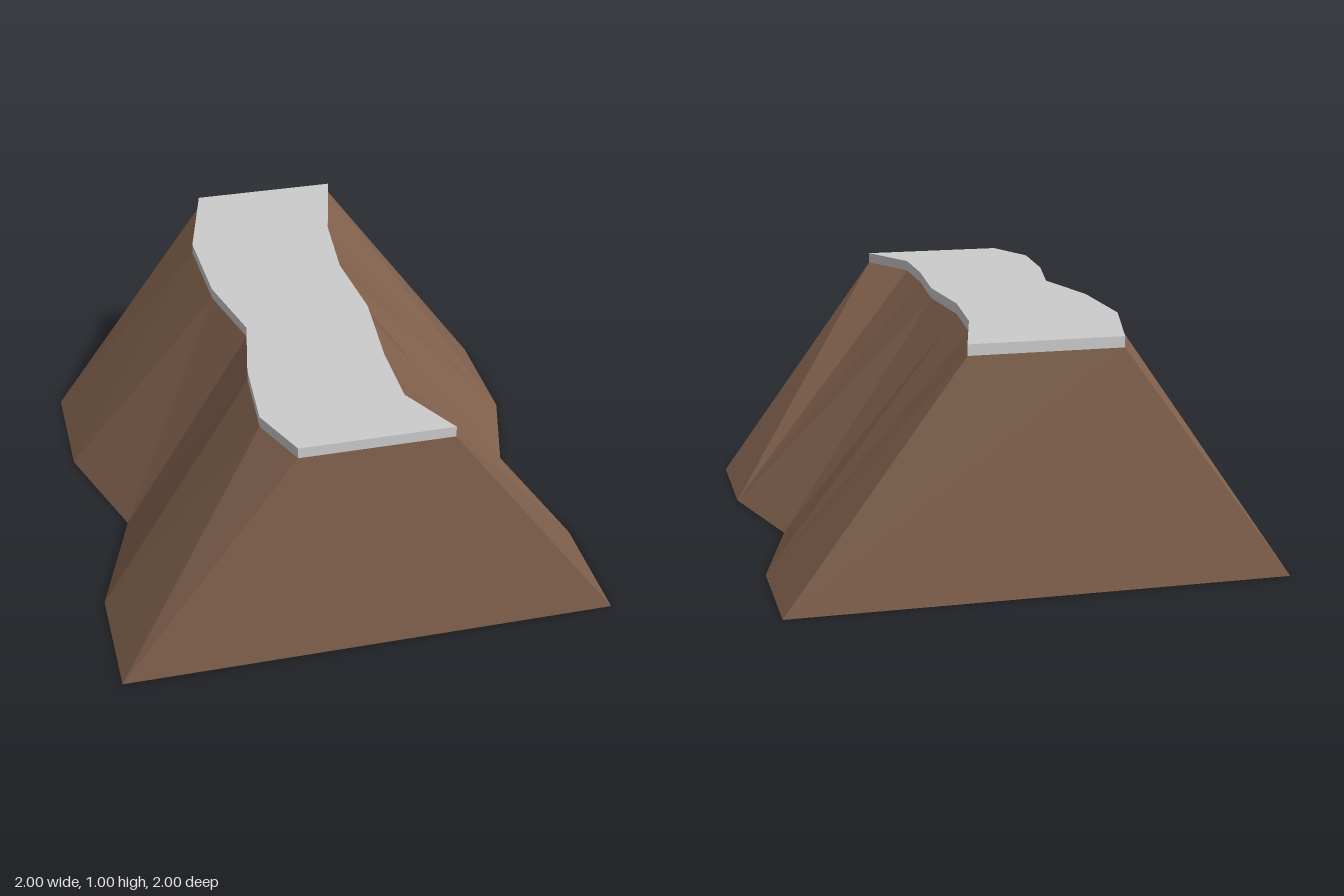
import * as THREE from 'three';

const SLAB_BASE = 0.957;

// Rim and foot outlines of each flank as [x, z], running from back to front
const leftRim = [[-0.3, -1], [-0.405, -0.58], [-0.393, -0.19], [-0.315, 0.14], [-0.375, 0.45], [-0.395, 0.77], [-0.3, 1]];
const rightRim = [[0.3, -1], [0.2, -0.6], [0.17, -0.26], [0.2, 0.09], [0.17, 0.46], [0.17, 0.75], [0.3, 1]];
const leftFoot = [[-1, -1], [-1, -0.5], [-0.83, 0], [-1, 0.5], [-1, 1]];
const rightFoot = [[1, -1], [1, -0.5], [0.86, 0], [1, 0.5], [1, 1]];

const top = ([x, z]) => [x, SLAB_BASE, z];
const base = ([x, z]) => [x, 0, z];

function facets(name, triangles, material) {
  const geometry = new THREE.BufferGeometry();
  geometry.setAttribute('position', new THREE.Float32BufferAttribute(triangles.flat(2), 3));
  geometry.computeVertexNormals();
  const mesh = new THREE.Mesh(geometry, material);
  mesh.name = name;
  return mesh;
}

// Stitches foot to rim: each step advances along the rim (T) or the foot (B)
function flank(foot, rim, steps, flip) {
  let b = 0, t = 0;
  return [...steps].map((step) => {
    const tri = step === 'T'
      ? [base(foot[b]), top(rim[t]), top(rim[++t])]
      : [base(foot[b]), top(rim[t]), base(foot[++b])];
    return flip ? tri.reverse() : tri;
  });
}

// Flat trapezoid closing one end; corners run counter-clockwise from outside
function endWall(a, b, c, d) {
  return [[a, b, c], [a, c, d]];
}

export function createModel() {
  const rock = new THREE.MeshStandardMaterial({ color: 0x85644f, side: THREE.DoubleSide, flatShading: true });
  rock.name = 'brown rock';
  const stone = new THREE.MeshStandardMaterial({ color: 0xcccccc, flatShading: true });
  stone.name = 'pale grey stone';

  const group = new THREE.Group();
  group.name = 'cliffRidge';

  // Faceted side slopes
  group.add(facets('rightSlope', flank(leftFoot, leftRim, 'TBTBTTBTBT', true), rock));
  group.add(facets('leftSlope', flank(rightFoot, rightRim, 'BTTBTBTTTB', false), rock));

  // Flat end walls; the underside stays open
  group.add(facets('frontWall', endWall(base(leftFoot[4]), base(rightFoot[4]), top(rightRim[6]), top(leftRim[6])), rock));
  group.add(facets('backWall', endWall(base(rightFoot[0]), base(leftFoot[0]), top(leftRim[0]), top(rightRim[0])), rock));

  // Thin slab along the ridge
  const outline = [...leftRim, ...[...rightRim].reverse()].map(([x, z]) => new THREE.Vector2(x, -z));
  const slabGeometry = new THREE.ExtrudeGeometry(new THREE.Shape(outline), { depth: 1 - SLAB_BASE, bevelEnabled: false });
  slabGeometry.rotateX(-Math.PI / 2);
  slabGeometry.translate(0, SLAB_BASE, 0);
  const slab = new THREE.Mesh(slabGeometry, stone);
  slab.name = 'topSlab';
  group.add(slab);

  return group;
}
